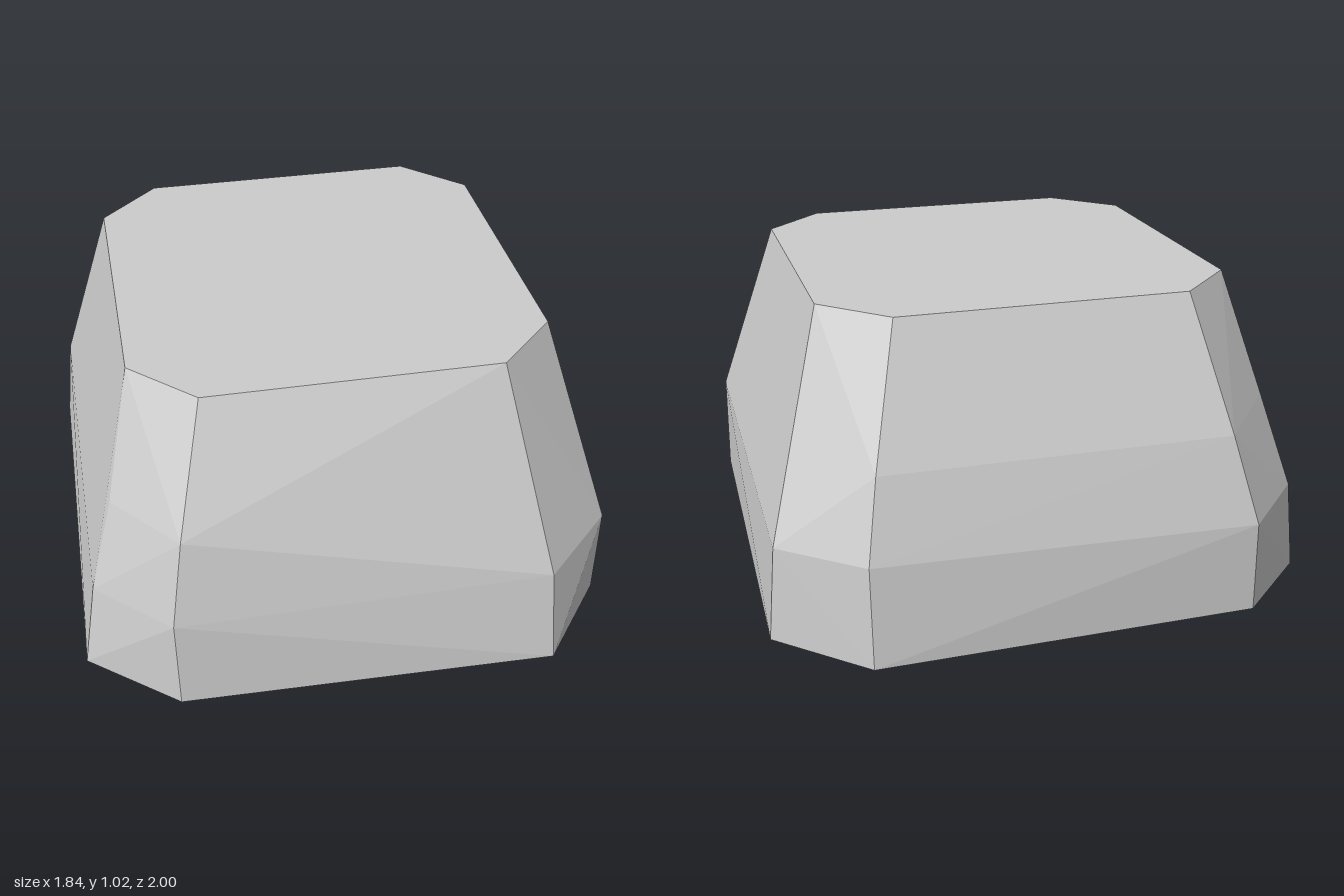
import * as THREE from 'three';
import { ConvexGeometry } from 'three/addons/geometries/ConvexGeometry.js';

// Each level is an uneven bevelled rectangle, listed as [x, y, z] corners
// running from the front round the left side and back to the right side.
const base = [
  [0.64, 0, 1.0], [0.885, 0, 0.7], [0.915, 0, -0.735], [0.635, 0, -1.0],
  [-0.64, 0, -0.985], [-0.91, 0, -0.735], [-0.92, 0, 0.72], [-0.625, 0, 0.96],
];
const shoulder = [
  [0.625, 0.33, 0.945], [0.88, 0.345, 0.71], [0.89, 0.32, -0.735], [0.635, 0.33, -0.967],
  [-0.64, 0.305, -0.98], [-0.875, 0.31, -0.735], [-0.87, 0.31, 0.7], [-0.63, 0.325, 0.94],
];
// Upper bulges, only where the slope bends
const bulge = [
  [0.59, 0.59, -0.885], [-0.575, 0.59, -0.895],
  [-0.79, 0.62, -0.645], [-0.785, 0.62, 0.64], [-0.585, 0.62, 0.88],
];
const top = [
  [0.485, 1.02, 0.68], [0.69, 1.02, 0.48], [0.69, 1.02, -0.495], [0.485, 1.02, -0.695],
  [-0.485, 1.02, -0.695], [-0.69, 1.02, -0.495], [-0.69, 1.02, 0.48], [-0.485, 1.02, 0.68],
];

export function createModel() {
  const group = new THREE.Group();
  group.name = 'rock';

  const stone = new THREE.MeshStandardMaterial({ color: 0xcccccc });
  stone.name = 'stone grey';

  // Faceted boulder: flat facets wrapped around the levels
  const points = [...base, ...shoulder, ...bulge, ...top].map((p) => new THREE.Vector3(...p));
  const boulder = new THREE.Mesh(new ConvexGeometry(points), stone);
  boulder.name = 'boulder';
  group.add(boulder);

  return group;
}
